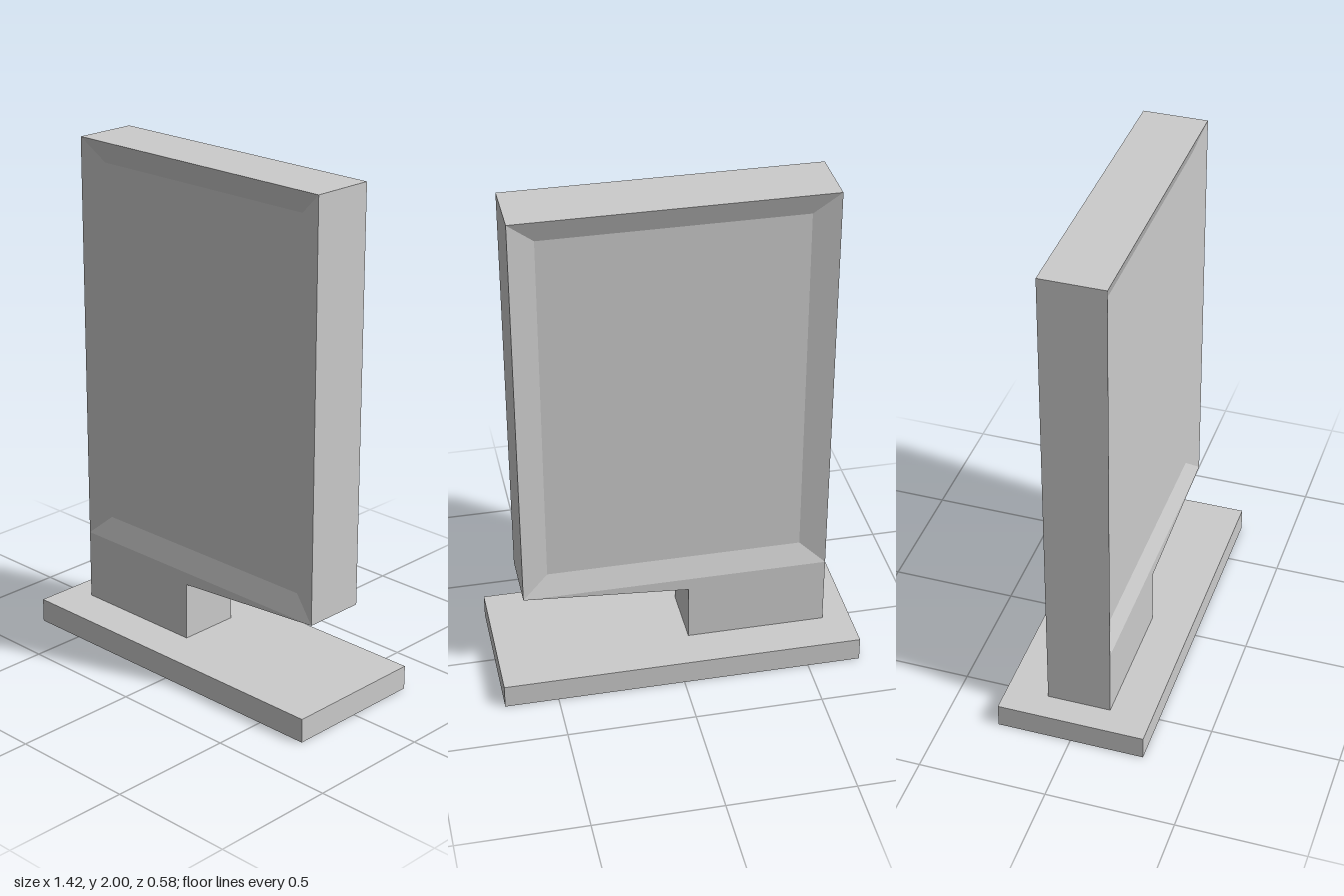
import * as THREE from 'three';

const material = new THREE.MeshStandardMaterial({ color: 0xcccccc, flatShading: true });

function addPart(group, name, geometry) {
  const mesh = new THREE.Mesh(geometry, material);
  mesh.name = name;
  group.add(mesh);
  return mesh;
}

// Rectangular loop, counter-clockwise seen from +z
const rectLoop = (halfW, y0, y1, z) => [
  [-halfW, y0, z], [halfW, y0, z], [halfW, y1, z], [-halfW, y1, z],
];

// Joins loops of four corners in order, closing the first and last
function loftLoops(loops) {
  const index = [];
  for (let r = 0; r < loops.length - 1; r++) {
    for (let i = 0; i < 4; i++) {
      const j = (i + 1) % 4;
      const a = r * 4 + i, b = r * 4 + j, c = a + 4, d = b + 4;
      index.push(a, c, d, a, d, b);
    }
  }
  const e = (loops.length - 1) * 4;
  index.push(0, 1, 2, 0, 2, 3, e, e + 2, e + 1, e, e + 3, e + 2);
  const geometry = new THREE.BufferGeometry();
  geometry.setAttribute('position', new THREE.Float32BufferAttribute(loops.flat(2), 3));
  geometry.setIndex(index);
  const flat = geometry.toNonIndexed();
  flat.computeVertexNormals();
  return flat;
}

export function createModel() {
  const group = new THREE.Group();
  group.name = 'signStand';

  const baseTop = 0.095, panelBottom = 0.375, top = 2;
  const halfW = 0.6, halfD = 0.125, recess = 0.03;

  // Flat base slab
  addPart(group, 'base', new THREE.BoxGeometry(1.42, baseTop, 0.58)).position.y = baseTop / 2;

  // Off-centre foot with a sloping underside carrying the panel
  const foot = new THREE.Shape([
    new THREE.Vector2(-halfW, baseTop),
    new THREE.Vector2(-0.05, baseTop),
    new THREE.Vector2(-0.05, 0.325),
    new THREE.Vector2(halfW, panelBottom),
    new THREE.Vector2(-halfW, panelBottom),
  ]);
  const footGeometry = new THREE.ExtrudeGeometry(foot, { depth: halfD * 2, bevelEnabled: false });
  footGeometry.translate(0, 0, -halfD);
  addPart(group, 'foot', footGeometry);

  // Display panel with a bevelled recess on both faces
  const inner = (z) => rectLoop(0.5, 0.463, 1.912, z);
  const outer = (z) => rectLoop(halfW, panelBottom, top, z);
  addPart(group, 'displayPanel', loftLoops([
    inner(halfD - recess), outer(halfD), outer(-halfD), inner(recess - halfD),
  ]));

  return group;
}
